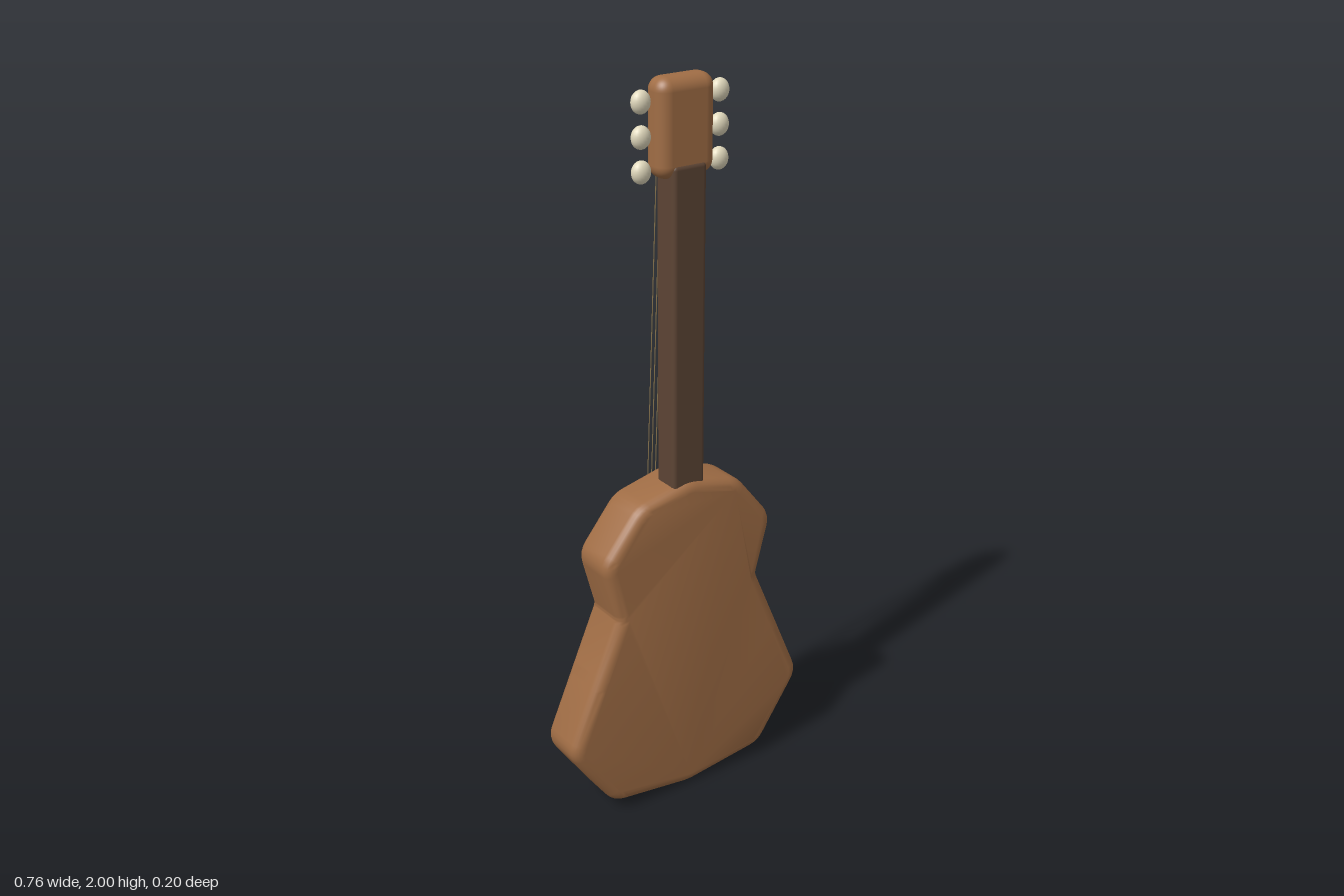
import * as THREE from 'three';
import { toCreasedNormals } from 'three/addons/utils/BufferGeometryUtils.js';
import { RoundedBoxGeometry } from 'three/addons/geometries/RoundedBoxGeometry.js';

const mat = (color) => new THREE.MeshStandardMaterial({ color });
const wood = mat(0xa06d45), darkWood = mat(0x5c4434), gold = mat(0xb8924e);
const dark = mat(0x262a33), ivory = mat(0xe0d8bc), stringMat = mat(0x8a7650);

function add(parent, name, geometry, material, x = 0, y = 0, z = 0) {
  const mesh = new THREE.Mesh(geometry, material);
  mesh.name = name;
  mesh.position.set(x, y, z);
  parent.add(mesh);
  return mesh;
}

// Closed shape through the points, with softened corners
function softShape(points, cut) {
  const shape = new THREE.Shape();
  points.forEach((p, i) => {
    const prev = points[(i + points.length - 1) % points.length];
    const next = points[(i + 1) % points.length];
    const a = p.clone().add(prev.clone().sub(p).setLength(cut));
    const b = p.clone().add(next.clone().sub(p).setLength(cut));
    if (i === 0) shape.moveTo(a.x, a.y);
    else shape.lineTo(a.x, a.y);
    shape.quadraticCurveTo(p.x, p.y, b.x, b.y);
  });
  shape.closePath();
  return shape;
}

export function createModel() {
  const guitar = new THREE.Group();
  guitar.name = 'guitar';

  // Body: mirrored half outline, grown outward by a round bevel
  const half = [[0.233, 0.06], [0.354, 0.237], [0.275, 0.42], [0.197, 0.6], [0.241, 0.764], [0.143, 0.886]];
  const right = half.map(([x, y]) => new THREE.Vector2(x, y));
  const left = half.map(([x, y]) => new THREE.Vector2(-x, y)).reverse();
  const outline = [new THREE.Vector2(0, 0.03), ...right, new THREE.Vector2(0, 0.92), ...left];
  const bevel = 0.03;
  const body = new THREE.ExtrudeGeometry(softShape(outline, 0.02), {
    depth: 0.147 - 2 * bevel, bevelThickness: bevel, bevelSize: bevel, bevelSegments: 5, curveSegments: 4,
  });
  add(guitar, 'body', toCreasedNormals(body, 0.7), wood, 0, 0, -0.049 + bevel);

  // Neck and headstock
  add(guitar, 'neck', new RoundedBoxGeometry(0.1, 0.9, 0.078, 3, 0.012), darkWood, 0, 1.34, 0.045);
  add(guitar, 'headstock', new RoundedBoxGeometry(0.166, 0.246, 0.08, 5, 0.034), wood, 0, 1.877, 0.04);

  // Tuning pegs, three on each side
  const peg = new THREE.SphereGeometry(1, 20, 14).scale(0.026, 0.029, 0.02);
  for (const side of [-1, 1]) {
    for (const y of [1.778, 1.862, 1.946]) add(guitar, 'tuningPeg', peg, ivory, side * 0.115, y, 0.04);
  }

  // Sound hole and its ring, on the -z face
  const hole = new THREE.CylinderGeometry(0.09, 0.09, 0.012, 40).rotateX(Math.PI / 2);
  add(guitar, 'soundHole', hole, dark, 0, 0.62, -0.05);
  add(guitar, 'soundHoleRing', new THREE.TorusGeometry(0.096, 0.011, 10, 48), gold, 0, 0.62, -0.056);

  // Bridge
  add(guitar, 'bridge', new RoundedBoxGeometry(0.196, 0.054, 0.04, 4, 0.013), darkWood, 0, 0.285, -0.075);

  // Six strings sloping from bridge to headstock
  for (let i = 0; i < 6; i++) {
    const x = (i - 2.5) * 0.0123;
    const path = new THREE.LineCurve3(new THREE.Vector3(x, 0.28, -0.097), new THREE.Vector3(x, 1.835, -0.014));
    add(guitar, 'string', new THREE.TubeGeometry(path, 1, 0.0015, 6), stringMat);
  }
  return guitar;
}
